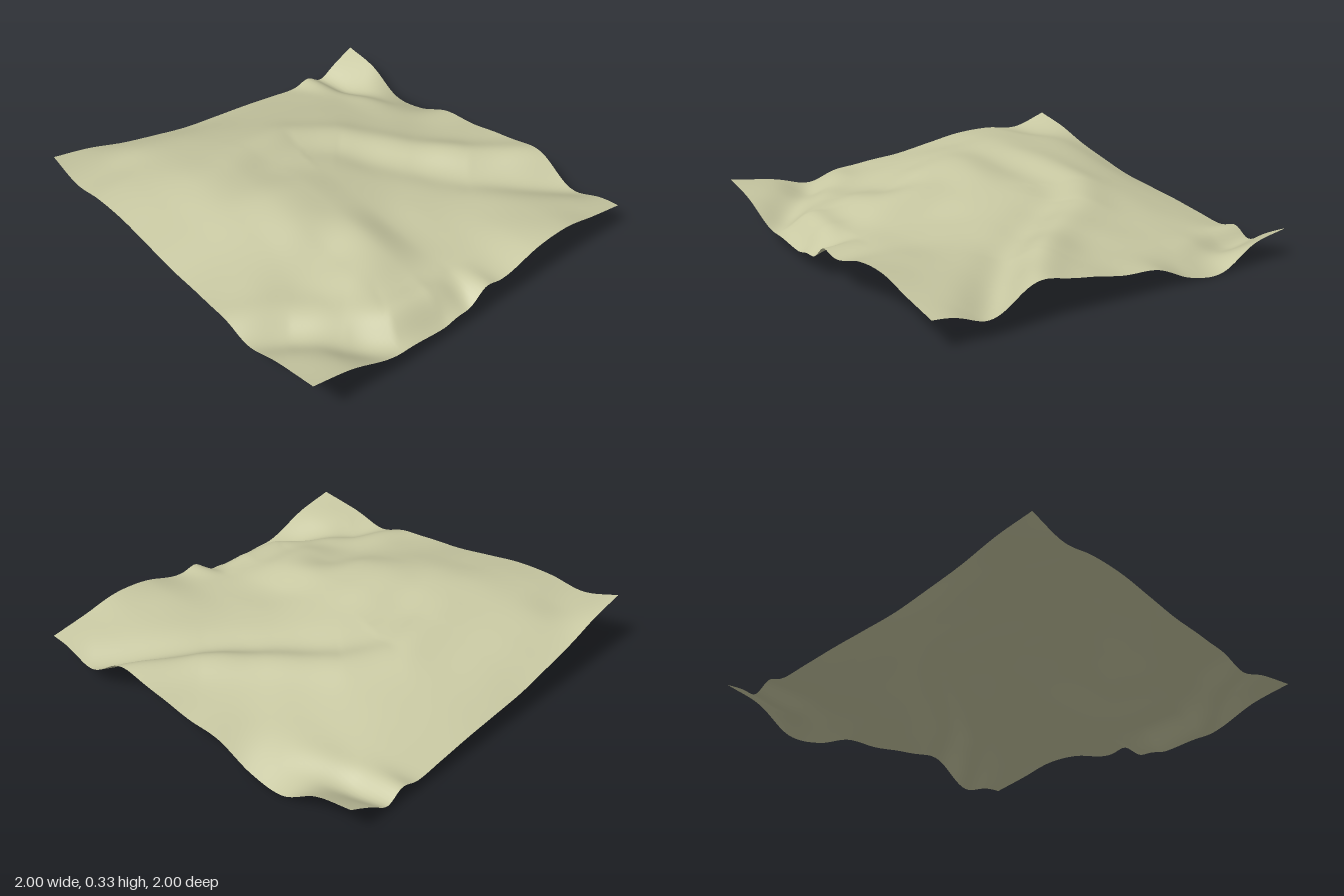
import * as THREE from 'three';

// Broad terrain heights in hundredths, one row per 0.2 step of z (back to front), columns from x = -1 to 1
const heights = [
  [31.4, 27.5, 21.5, 17, 13, 11, 9.2, 6.8, 4.6, 6.5, 15.2],
  [25.8, 26, 27.3, 25.2, 21.7, 18.2, 15.2, 12, 8.7, 4, 11.3],
  [28, 30, 30.8, 29.3, 26.7, 23.7, 20.2, 16.5, 12, 7.8, 0.8],
  [27.8, 31, 33.2, 31.8, 29.2, 27, 22.8, 19, 14.5, 10.5, 2.7],
  [25, 28.3, 32, 32, 29, 26.5, 24.3, 20.2, 17, 13, 10.8],
  [22, 26.2, 30.5, 33.3, 31, 26, 22.7, 21.2, 17.8, 15, 12.5],
  [20.5, 23, 26, 30, 28.5, 24, 21, 20, 19.7, 17, 16],
  [16.5, 19.5, 20.5, 23.5, 27, 20.5, 19.2, 18, 18, 16.7, 16.5],
  [17.5, 15, 17.5, 23, 23.5, 18.5, 17.7, 18, 17.5, 15.5, 13],
  [20.5, 18, 12.8, 16, 16, 17, 17.5, 20, 19.2, 16.5, 14],
  [23.5, 19.5, 13.5, 13, 11.5, 14, 16, 21.5, 22.5, 18.5, 15],
];

// Banks: paths of [x, z, strength], with a crest on one side and a trough on the other
const banks = [
  { width: 0.14, path: [[-0.6, -0.2, 0], [-0.2, -0.36, 0.03], [0.05, -0.4, 0.04], [0.25, -0.25, 0.06],
    [0.45, 0.05, 0.07], [0.65, 0.3, 0.09], [1.05, 0.65, 0.12]] },
  { width: 0.12, path: [[-1.1, 0.42, 0.06], [-0.8, 0.6, 0.06], [-0.62, 0.78, 0.07], [-0.45, 0.91, 0.09],
    [-0.2, 0.94, 0.1], [-0.02, 0.96, 0]] },
  { width: 0.08, path: [[0.86, -0.45, 0], [0.75, -0.8, 0.04], [0.7, -1.1, 0.08]] },
  { width: 0.08, path: [[0, 0.8, 0], [0, 1.05, 0.08]] },
];

// Smooth curve through evenly spaced values, extended straight past both ends
function spline(values, t) {
  const last = values.length - 1;
  const i = Math.min(Math.floor(t), last - 1);
  const f = t - i;
  const b = values[i], c = values[i + 1];
  const a = i > 0 ? values[i - 1] : 2 * b - c;
  const d = i + 2 <= last ? values[i + 2] : 2 * c - b;
  return b + 0.5 * f * (c - a + f * (2 * a - 5 * b + 4 * c - d + f * (3 * (b - c) + d - a)));
}

// Height added by a bank, from the signed distance to the nearest point of its path
function bankHeight({ path, width }, x, z) {
  let nearest = Infinity, height = 0;
  for (let i = 0; i < path.length - 1; i++) {
    const [ax, az, as] = path[i], [bx, bz, bs] = path[i + 1];
    const dx = bx - ax, dz = bz - az;
    const t = THREE.MathUtils.clamp(((x - ax) * dx + (z - az) * dz) / (dx * dx + dz * dz), 0, 1);
    const distance = Math.hypot(x - ax - t * dx, z - az - t * dz);
    if (distance >= nearest) continue;
    nearest = distance;
    const side = Math.sign(dz * (x - ax) - dx * (z - az));
    const d = distance / width;
    height = side * (as + (bs - as) * t) * d * Math.exp(-d * d);
  }
  return height;
}

function heightAt(x, z) {
  const u = THREE.MathUtils.clamp((x + 1) * 5, 0, 10);
  const v = THREE.MathUtils.clamp((z + 1) * 5, 0, 10);
  const base = spline(heights.map((row) => spline(row, u)), v) / 100;
  return banks.reduce((sum, bank) => sum + bankHeight(bank, x, z), base);
}

export function createModel() {
  const group = new THREE.Group();
  group.name = 'hillyTerrain';

  // Square sheet of ground, raised into ridges and valleys
  const geometry = new THREE.PlaneGeometry(2, 2, 100, 100);
  geometry.rotateX(-Math.PI / 2);
  const p = geometry.attributes.position;
  for (let i = 0; i < p.count; i++) p.setY(i, Math.max(0, heightAt(p.getX(i), p.getZ(i))));
  geometry.computeVertexNormals();

  const ground = new THREE.Mesh(
    geometry,
    new THREE.MeshStandardMaterial({ color: 0xc8c8a2, side: THREE.DoubleSide }),
  );
  ground.name = 'groundSurface';
  group.add(ground);
  return group;
}
